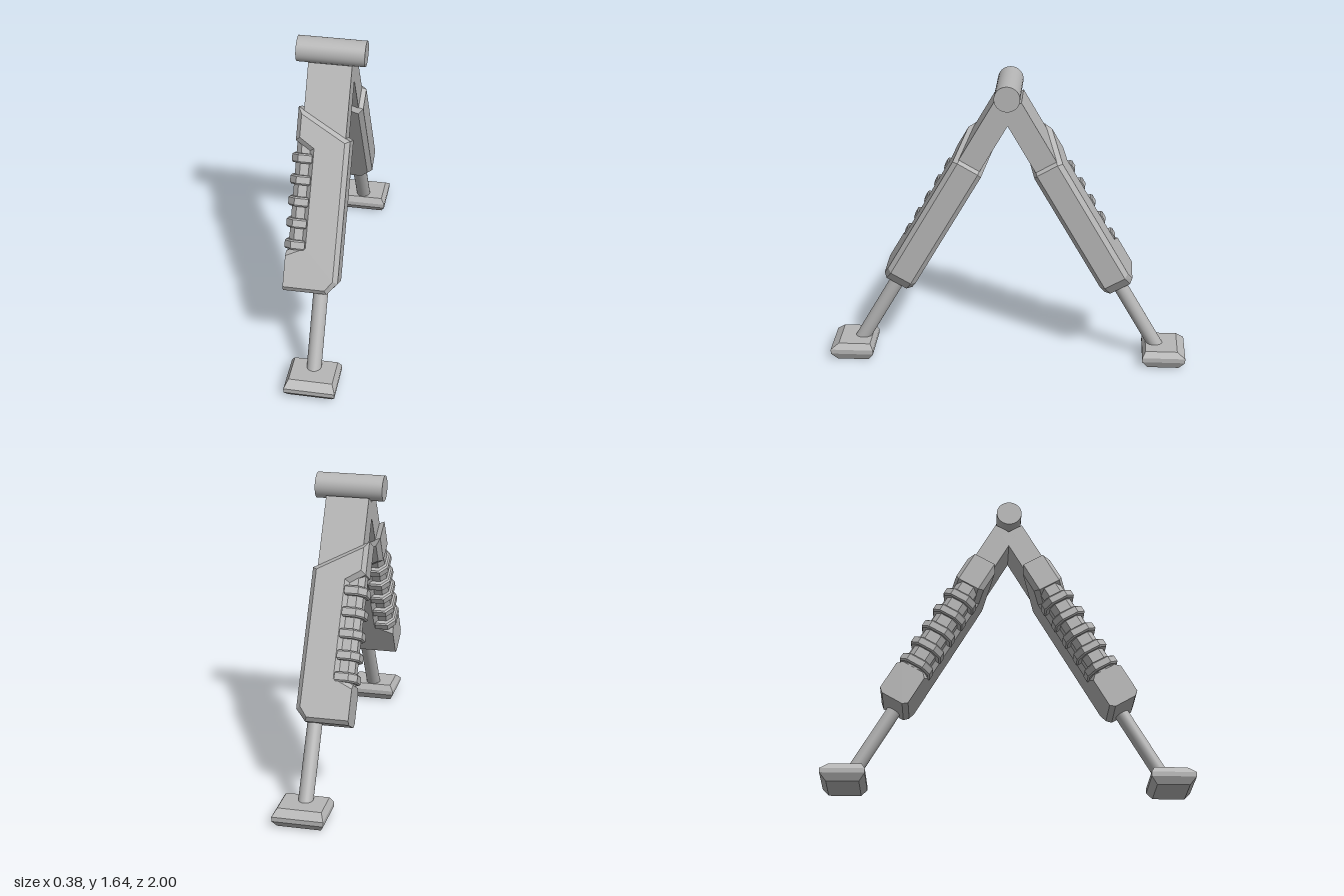
import * as THREE from 'three';

const TILT = Math.PI / 6;
const PIVOT_Y = 1.57;

// Flat-faced solid through a stack of matching counter-clockwise outlines: [[level, outline], ...]
function loft(layers) {
  const pos = [];
  const put = (layer, i) => {
    const p = layer[1][i % layer[1].length];
    pos.push(p[0], p[1], layer[0]);
  };
  for (let k = 0; k + 1 < layers.length; k++) {
    const a = layers[k], b = layers[k + 1];
    for (let i = 0; i < a[1].length; i++) {
      put(a, i); put(a, i + 1); put(b, i + 1);
      put(a, i); put(b, i + 1); put(b, i);
    }
  }
  const cap = (layer, flip) => {
    const pts = layer[1].map(([x, y]) => new THREE.Vector2(x, y));
    for (const [i, j, k] of THREE.ShapeUtils.triangulateShape(pts, [])) {
      (flip ? [i, k, j] : [i, j, k]).forEach((n) => put(layer, n));
    }
  };
  cap(layers[0], true);
  cap(layers[layers.length - 1], false);
  const g = new THREE.BufferGeometry();
  g.setAttribute('position', new THREE.Float32BufferAttribute(pos, 3));
  g.computeVertexNormals();
  return g;
}

// Same solid, stacked along y instead of z
const loftUp = (layers) => loft(layers).rotateX(-Math.PI / 2);

const rect = (x0, x1, y0, y1) => [[x0, y0], [x1, y0], [x1, y1], [x0, y1]];

// Bar section with both outer (-x) corners chamfered
const gripSection = (x0, x1, z, cx, cz) => [
  [x1, -z], [x1, z], [x0 + cx, z], [x0, z - cz], [x0, cz - z], [x0 + cx, -z],
];

export function createModel() {
  const model = new THREE.Group();
  model.name = 'bipod';
  const metal = new THREE.MeshStandardMaterial({ color: 0xb6b6b6 });
  metal.name = 'grey metal';

  const add = (parent, name, geometry, x = 0, y = 0, z = 0) => {
    const mesh = new THREE.Mesh(geometry, metal);
    mesh.name = name;
    mesh.position.set(x, y, z);
    parent.add(mesh);
    return mesh;
  };

  // Hinge bar across the top
  add(model, 'hingeBar', new THREE.CylinderGeometry(0.07, 0.07, 0.37, 32).rotateZ(Math.PI / 2), -0.005, PIVOT_Y, 0);

  // Housing outlines: full middle section, and the smaller face left by the bevel
  const middle = [
    [-0.15, -0.305], [-0.15, -0.485], [-0.07, -0.535], [-0.07, -1.035], [-0.15, -1.075],
    [-0.15, -1.288], [0.085, -1.288], [0.14, -1.225], [0.14, -0.465],
  ];
  const face = [
    [-0.127, -0.343], [-0.127, -0.467], [-0.045, -0.52], [-0.045, -1.052], [-0.15, -1.1],
    [-0.15, -1.267], [0.075, -1.267], [0.115, -1.215], [0.115, -0.478],
  ];
  const housing = loft([[-0.088, face], [-0.063, middle], [0.063, middle], [0.088, face]]);

  // Ribbed grip set into the housing's open side
  const core = loftUp([[-1.09, gripSection(-0.145, -0.05, 0.065, 0.03, 0.03)],
    [-0.47, gripSection(-0.145, -0.05, 0.065, 0.03, 0.03)]]);
  const ribOuter = gripSection(-0.165, -0.05, 0.094, 0.04, 0.045);
  const ribEdge = gripSection(-0.157, -0.057, 0.087, 0.038, 0.042);
  const rib = loftUp([[-0.026, ribEdge], [-0.018, ribOuter], [0.018, ribOuter], [0.026, ribEdge]]);

  for (const s of [1, -1]) {
    const side = s > 0 ? 'front' : 'rear';
    const leg = new THREE.Group();
    leg.name = side + 'Leg';
    leg.position.set(0, PIVOT_Y - 0.02 * Math.sin(TILT), -s * 0.02 * Math.cos(TILT));
    leg.rotation.x = -s * TILT;
    model.add(leg);

    add(leg, 'upperArm', new THREE.BoxGeometry(0.235, 0.41, 0.13), -0.0025, -0.275, 0);
    add(leg, 'housing', housing);
    add(leg, 'gripCore', core);
    for (let i = 0; i < 5; i++) add(leg, 'gripRib', rib, 0, -0.577 - i * 0.1155, 0);
    add(leg, 'rod', new THREE.CylinderGeometry(0.04, 0.04, 0.5, 24), 0.045, -1.47, 0);

    // Foot pad, level with the ground, bevelled above and below
    const pad = (inset, outer, inner) => {
      const ends = [-s * (1 - outer), -s * (0.76 + inner)].sort((a, b) => a - b);
      return rect(-0.09 + inset, 0.185 - inset, ends[0], ends[1]);
    };
    add(model, side + 'Foot', loftUp([
      [0, pad(0.02, 0.035, 0.03)], [0.04, pad(0, 0, 0)], [0.065, pad(0, 0, 0)], [0.098, pad(0.02, 0.045, 0.018)],
    ]));
  }
  return model;
}
